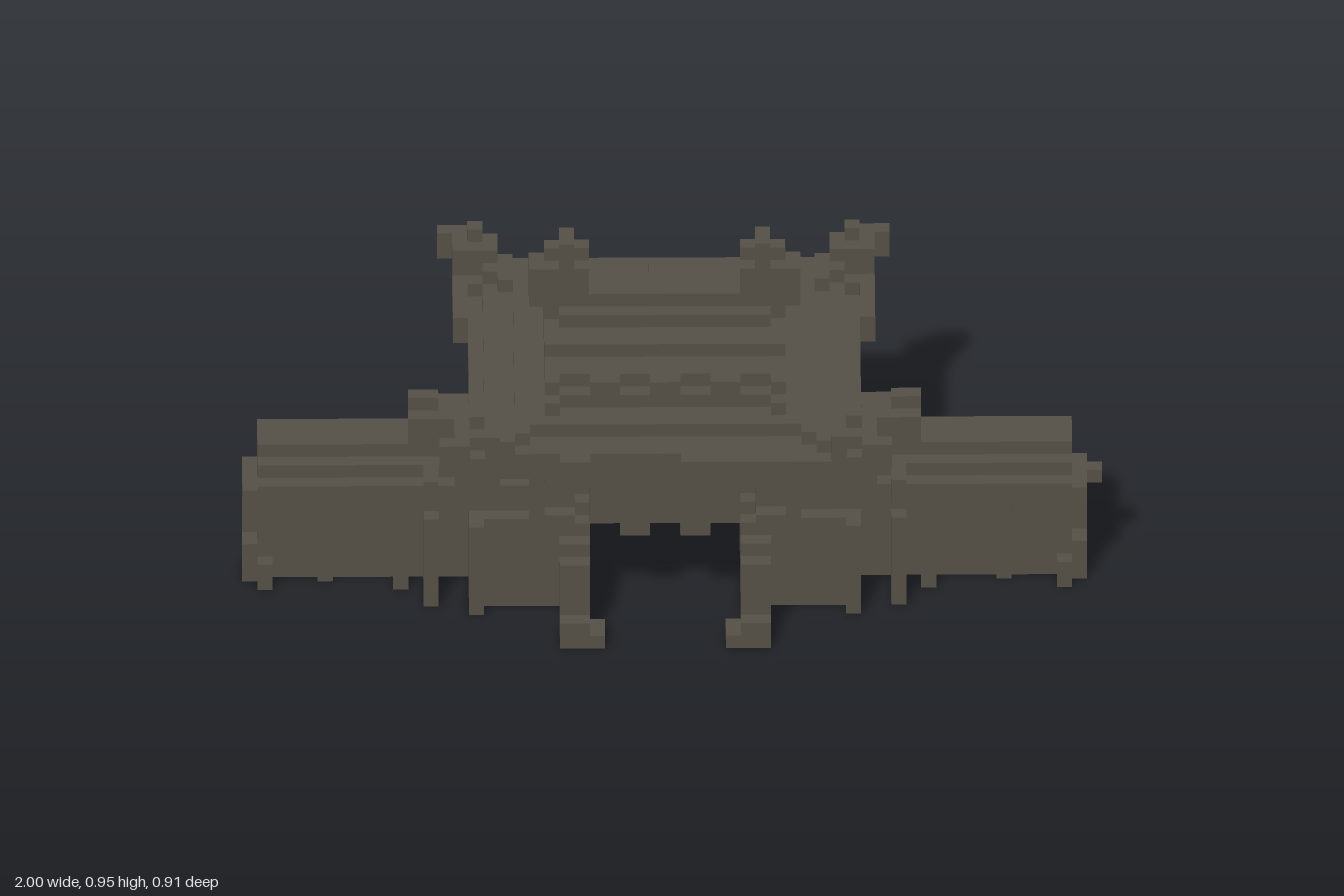
import * as THREE from 'three';
import { mergeGeometries } from 'three/addons/utils/BufferGeometryUtils.js';

const U = 2 / 57; // size of one block
const stone = new THREE.MeshStandardMaterial({ color: 0x545046 });
stone.name = 'dark stone';

// Collects block-unit boxes for one part; mirrored over x and z on request
function part(name, build) {
  const list = [];
  const box = (x0, x1, y0, y1, z0, z1) => {
    const g = new THREE.BoxGeometry((x1 - x0) * U, (y1 - y0) * U, (z1 - z0) * U);
    g.translate((x0 + x1) / 2 * U, (y0 + y1) / 2 * U, (z0 + z1) / 2 * U);
    list.push(g);
  };
  const pair = (x0, x1, y0, y1, z0, z1) => {
    box(x0, x1, y0, y1, z0, z1);
    box(-x1, -x0, y0, y1, z0, z1);
  };
  const quad = (x0, x1, y0, y1, z0, z1) => {
    pair(x0, x1, y0, y1, z0, z1);
    pair(x0, x1, y0, y1, -z1, -z0);
  };
  // Rectangular frame, open in the middle
  const ring = (w, d, y0, y1, tx, tz) => {
    box(-w, w, y0, y1, d - tz, d);
    box(-w, w, y0, y1, -d, tz - d);
    pair(w - tx, w, y0, y1, tz - d, d - tz);
  };
  build({ box, pair, quad, ring });
  const mesh = new THREE.Mesh(mergeGeometries(list), stone);
  mesh.name = name;
  return mesh;
}

export function createModel() {
  const model = new THREE.Group();
  model.name = 'gatehouse';
  model.position.x = -U / 2;

  model.add(part('sideWalls', ({ pair }) => {
    pair(13, 27, 0, 7, -1.5, 0.5);
    pair(19, 21, 4, 6, -2, 1); // window panels
    for (const x of [22, 26]) pair(x, x + 1, 0, 7, -2, 1); // posts
    pair(17, 18, 0, 7, -3, 2);
    pair(15, 16, 0, 7, -5, 4);
    pair(15, 16, 8, 10, -5, 4);
    pair(23, 25, 6, 7, -3, 2);
    pair(26, 27, 0, 2, -3, 2);
    pair(27, 28, 0, 3, -1, 1); // end buttresses
    pair(27, 28, 4, 7, -1, 1);
  }));

  model.add(part('wallRoofs', ({ pair, box }) => {
    pair(8, 27, 7, 9, -4, 3);
    pair(8, 27, 9, 10, -3, 2);
    pair(8, 27, 10, 11, -2, 1);
    pair(27, 28, 7, 8, -2, 2);
    box(28, 29, 7, 8, -1, 0);
    pair(8, 17, 11, 13, -2, 1); // raised crest beside the gate
    pair(15, 17, 13, 14, -1, 0);
  }));

  model.add(part('gatePiers', ({ pair, quad }) => {
    pair(5, 13, 0, 7, -4, 4);
    pair(5, 9, 7, 12, -4, 4);
    pair(5, 8, 12, 15, -4, 4);
    quad(5, 7, 0, 9, 4, 5);
    quad(12, 13, 0, 7, 4, 5);
    pair(5, 7, 0, 1, -6, -5);
  }));

  model.add(part('buttressLegs', ({ quad, pair }) => {
    quad(5, 7, 5, 8, 4, 6);
    quad(5, 7, 4, 6, 5, 8);
    quad(5, 7, 6, 7, 5, 7);
    pair(5, 7, 2, 4, 6, 8); // front feet
    pair(4, 7, 0, 1, 7, 9);
    pair(5, 7, 1, 2, 7, 9);
    pair(5, 7, 1, 4, -9, -7); // back feet
    pair(4, 7, 0, 1, -10, -8);
  }));

  model.add(part('lintel', ({ box, quad }) => {
    for (const s of [-1, 1]) {
      box(-5, 5, 8, 15, s * 4 - 1, s * 4 + 1);
      box(-5, 5, 8, 12, s * 5.5 - 0.5, s * 5.5 + 0.5);
    }
    quad(1, 3, 7, 9, 4, 6); // hanging pendants
  }));

  model.add(part('eaveBrackets', ({ quad, ring, pair }) => {
    ring(8, 6, 12, 14, 2, 2);
    ring(8, 8, 13, 14, 2, 2);
    ring(9, 8, 14, 16, 2, 3);
    for (const x of [2, 6]) {
      quad(x, x + 2, 11, 13, 6, 8);
      quad(x, x + 2, 13, 15, 7, 9);
    }
    quad(6, 8, 9, 10, 5, 8);
    quad(6, 8, 10, 11, 5, 7);
    for (const z of [-4, 2]) {
      pair(8, 9, 11, 13, z, z + 2);
      pair(8, 10, 13, 15, z, z + 2);
    }
  }));

  model.add(part('roofTiers', ({ box, pair, quad, ring }) => {
    // Eave, hollow underneath
    ring(13, 11, 15, 16, 3, 2);
    ring(12, 11, 16, 17, 4, 3);
    box(-7, -5, 15, 17, 11, 12); // front eave tiles
    box(1, 11, 15, 17, 11, 12);
    box(-10, 11, 15, 17, -12, -11);
    quad(13, 14, 15, 17, 5, 12);
    quad(11, 13, 15, 17, 9, 12);
    quad(9, 12, 14, 15, 7, 9);
    pair(9, 12, 14, 15, -11, -9);
    pair(10, 12, 14, 15, -7, 7);
    // Stepped slope up to the ridge
    ring(10, 9, 17, 18, 4, 4);
    for (const [w, y0, y1, z0, z1] of [
      [8, 18, 19, -8, 7], [8, 19, 20, -6, 6],
      [8, 20, 21, -4, 4], [7, 21, 22, -3, 2]]) {
      box(-w, w, y0, y1, z0, z1);
    }
    // Tile lips along the steps
    for (let x = -5; x < 6; x += 4) {
      for (const s of [-1, 1]) box(x, x + 2, 19, 20, s * 6.5 - 0.5, s * 6.5 + 0.5);
    }
  }));

  model.add(part('roofRibs', ({ quad }) => {
    // Gable ribs running down the slope
    quad(7, 8, 20, 21, 2, 4);
    quad(7, 8, 19, 20, 4, 7);
    quad(7, 8, 18, 19, 7, 8);
    // Hip ribs out to the corners
    for (let i = 0; i < 4; i++) quad(8 + i, 10 + i, 17, 18, 7 + i, 9 + i);
  }));

  model.add(part('upturnedCorners', ({ quad, pair }) => {
    quad(11, 14, 16, 18, 10, 12);
    quad(11, 14, 18, 19, 10, 12);
    quad(13, 15, 17, 19, 12, 13);
    quad(12, 14, 16, 18, 12, 13);
    pair(12, 13, 19, 20, 10, 11); // corner finials
    pair(12, 13, 19, 20, -12, -11);
  }));

  model.add(part('mainRidge', ({ box, pair }) => {
    box(-5, 5, 21, 23, -1, 1);
    pair(5, 8, 20, 25, -1, 1); // ridge end ornaments
    pair(8, 9, 22, 25, -1, 1);
    pair(5, 8, 25, 26, -1, 0);
    pair(6, 7, 25, 27, -1, 1);
    pair(6, 7, 22, 24, -2, -1);
  }));

  return model;
}
